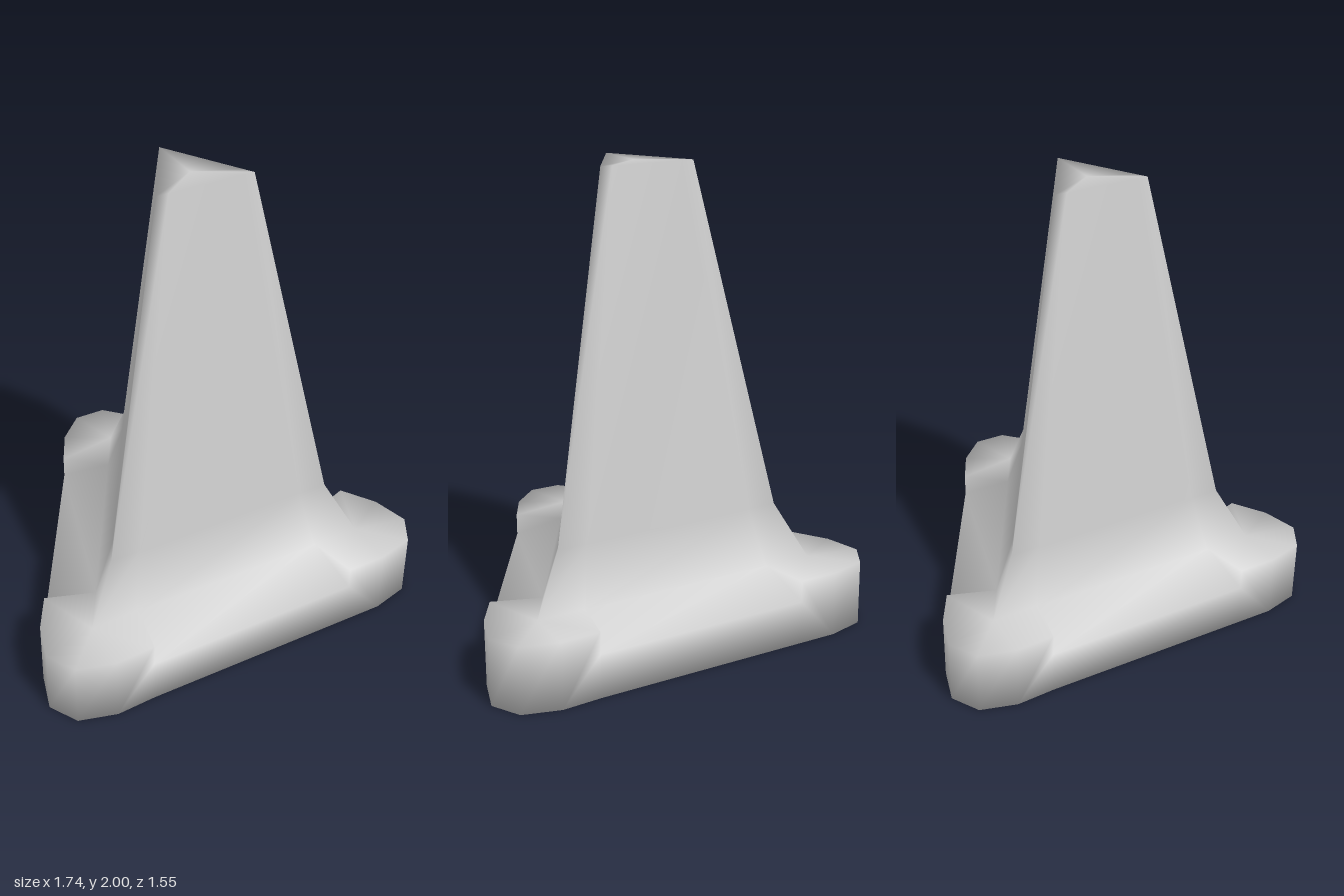
import * as THREE from 'three';

const CENTRE_Z = 0.19; // axis of the three-fold symmetry
const BASE_TOP = 0.285;
const SPAN_TOP = 0.19; // outer edge of the sloped ledges

export function createModel() {
  const positions = [];
  const lookup = new Map();
  const baseIndex = [];
  const bodyIndex = [];

  // Shared vertex, given in the frame of side k (z points outward from the axis)
  function vertex(k, x, y, z) {
    const a = (k * Math.PI * 2) / 3;
    const p = [x * Math.cos(a) + z * Math.sin(a), y, z * Math.cos(a) - x * Math.sin(a) + CENTRE_Z];
    const key = p.map((n) => Math.round(n * 200)).join();
    if (!lookup.has(key)) {
      lookup.set(key, positions.length / 3);
      positions.push(...p);
    }
    return lookup.get(key);
  }

  // Polygon as a fan from its first corner, counter-clockwise from outside
  function poly(index, ...c) {
    for (let i = 1; i < c.length - 1; i++) index.push(c[0], c[i], c[i + 1]);
  }

  const cornerPoints = [[0.64, 0.58], [0.80, 0.54], [0.87, 0.42], [0.83, 0.26]];
  const rings = [
    { y: BASE_TOP, h: 0.37, inset: 0.43 / 0.64 },
    { y: 0.53, h: 0.295, inset: 0.75 },
    { y: 2, h: 0.12, inset: 0.75 },
  ];
  const ringRow = (k, { y, h, inset }) =>
    [-1, -inset, inset, 1].map((f) => vertex(k, f * h * Math.sqrt(3), y, h));

  const bottomCentre = vertex(0, 0, 0, 0);
  const topCentre = vertex(0, 0, 2, 0);

  for (let k = 0; k < 3; k++) {
    const n = k + 1;
    const rows = rings.map((r) => ringRow(k, r));
    const nextFoot = ringRow(n, rings[0]);
    const split = (side, s, y) => vertex(side, s * 0.47, y, 0.58);

    // Tapered body side, flaring at the foot
    for (let r = 0; r < 2; r++) {
      for (let i = 0; i < 3; i++) {
        poly(bodyIndex, rows[r][i], rows[r][i + 1], rows[r + 1][i + 1], rows[r + 1][i]);
      }
    }
    // Flat top
    for (let i = 0; i < 3; i++) poly(bodyIndex, topCentre, rows[2][i], rows[2][i + 1]);

    // Sloped ledge and its outer wall
    const [l0, r0] = [split(k, -1, 0), split(k, 1, 0)];
    const [l1, r1] = [split(k, -1, SPAN_TOP), split(k, 1, SPAN_TOP)];
    const [l2, r2] = [split(k, -1, BASE_TOP), split(k, 1, BASE_TOP)];
    poly(baseIndex, l0, r0, r1, l1);
    poly(baseIndex, l1, r1, rows[0][2], rows[0][1]);
    // Small steps up to the corner blocks
    poly(baseIndex, rows[0][2], r1, r2);
    poly(baseIndex, rows[0][1], l2, l1);

    // Corner block: walls and flat top
    const low = cornerPoints.map(([x, z]) => vertex(k, x, 0, z));
    const high = cornerPoints.map(([x, z]) => vertex(k, x, BASE_TOP, z));
    const nextLow = split(n, -1, 0);
    const nextHigh = split(n, -1, BASE_TOP);
    poly(baseIndex, low[0], high[0], r2, r1, r0);
    for (let i = 0; i < 3; i++) poly(baseIndex, low[i], low[i + 1], high[i + 1], high[i]);
    poly(baseIndex, low[3], nextLow, split(n, -1, SPAN_TOP), nextHigh, high[3]);
    poly(baseIndex, rows[0][3], rows[0][2], r2, ...high, nextHigh, nextFoot[1]);

    // Underside
    const rim = [l0, r0, ...low, nextLow];
    for (let i = 0; i < rim.length - 1; i++) poly(baseIndex, bottomCentre, rim[i + 1], rim[i]);
  }

  // Normals are computed over the whole skin so body and base blend smoothly
  const skin = new THREE.BufferGeometry();
  skin.setAttribute('position', new THREE.Float32BufferAttribute(positions, 3));
  skin.setIndex([...baseIndex, ...bodyIndex]);
  skin.computeVertexNormals();

  const material = new THREE.MeshStandardMaterial({ color: 0xcccccc });
  const group = new THREE.Group();
  group.name = 'triangularCone';
  for (const [name, index] of [['base', baseIndex], ['body', bodyIndex]]) {
    const geometry = new THREE.BufferGeometry();
    geometry.setAttribute('position', skin.getAttribute('position').clone());
    geometry.setAttribute('normal', skin.getAttribute('normal').clone());
    geometry.setIndex(index);
    const mesh = new THREE.Mesh(geometry, material);
    mesh.name = name;
    group.add(mesh);
  }
  return group;
}
